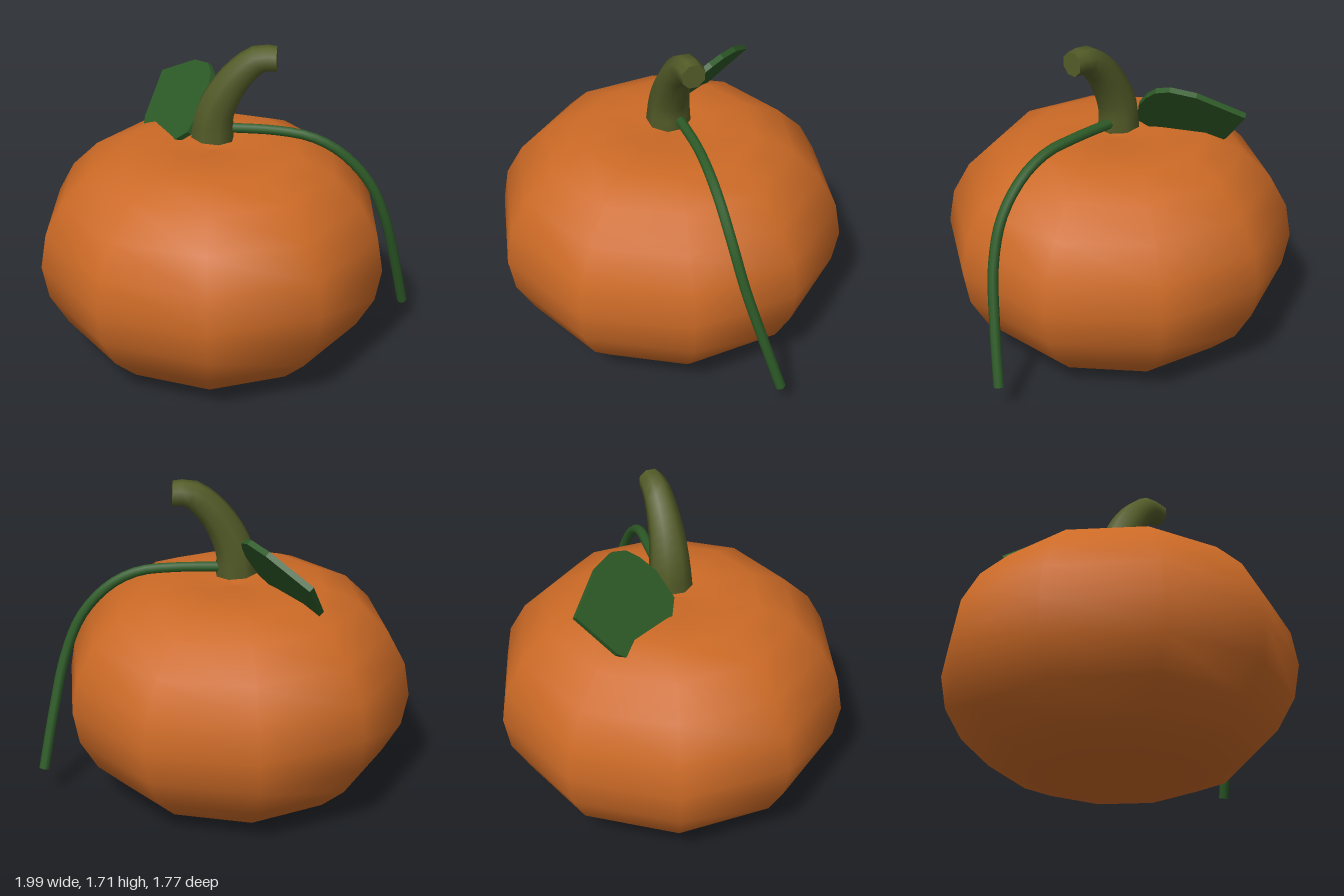
import * as THREE from 'three';

const V = (x, y, z) => new THREE.Vector3(x, y, z);

// Tube along a smooth path, tapering from r0 to r1, with flat end caps
function taperedTube(name, points, r0, r1, steps, sides, material) {
  const group = new THREE.Group();
  group.name = name;
  const curve = new THREE.CatmullRomCurve3(points);
  const geo = new THREE.TubeGeometry(curve, steps, 1, sides);
  const pos = geo.attributes.position, v = V(0, 0, 0);
  for (let i = 0; i <= steps; i++) {
    const c = curve.getPointAt(i / steps);
    const r = r0 + (r1 - r0) * i / steps;
    for (let j = 0; j <= sides; j++) {
      const k = i * (sides + 1) + j;
      v.fromBufferAttribute(pos, k).sub(c).multiplyScalar(r).add(c);
      pos.setXYZ(k, v.x, v.y, v.z);
    }
  }
  const side = new THREE.Mesh(geo, material);
  side.name = name + 'Side';
  group.add(side);

  // Caps: fans over the first and last rings
  for (const end of [0, 1]) {
    const c = curve.getPointAt(end), start = end * steps * (sides + 1), p = [];
    for (let j = 0; j < sides; j++) {
      const a = V(0, 0, 0).fromBufferAttribute(pos, start + j);
      const b = V(0, 0, 0).fromBufferAttribute(pos, start + j + 1);
      const n = b.clone().sub(a).cross(c.clone().sub(a));
      const out = curve.getTangentAt(end).multiplyScalar(end ? 1 : -1);
      const tri = n.dot(out) > 0 ? [a, b, c] : [b, a, c];
      tri.forEach(q => p.push(q.x, q.y, q.z));
    }
    const capGeo = new THREE.BufferGeometry();
    capGeo.setAttribute('position', new THREE.Float32BufferAttribute(p, 3));
    capGeo.computeVertexNormals();
    const cap = new THREE.Mesh(capGeo, material);
    cap.name = name + (end ? 'Tip' : 'Base');
    group.add(cap);
  }
  return group;
}

export function createModel() {
  const model = new THREE.Group();
  model.name = 'pumpkin';
  const mat = (name, color) => {
    const m = new THREE.MeshStandardMaterial({ color });
    m.name = name;
    return m;
  };
  const orange = mat('pumpkinOrange', 0xcc6a26);
  const olive = mat('stemOlive', 0x545c28);
  const green = mat('leafGreen', 0x2d5a27);

  // Body: ten-sided squashed sphere with pressed-in poles
  const mid = 0.583, profile = [];
  const press = { 0: 0.55, 1: 0.58, 2: 0.576 };
  for (let i = 12; i >= 0; i--) {
    const a = i * Math.PI / 12;
    const fromPole = Math.min(i, 12 - i);
    const h = press[fromPole] ?? 0.7 * Math.abs(Math.cos(a));
    profile.push(new THREE.Vector2(fromPole ? 0.93 * Math.sin(a) : 0, mid + (i < 6 ? h : -h)));
  }
  const body = new THREE.Mesh(new THREE.LatheGeometry(profile, 10, Math.PI / 2), orange);
  body.name = 'body';
  body.position.x = -0.07;
  model.add(body);

  // Stem: bent and tapering
  model.add(taperedTube('stem', [
    V(-0.07, 1.21, 0), V(-0.062, 1.32, 0.003), V(-0.015, 1.45, 0.025),
    V(0.065, 1.57, 0.055), V(0.15, 1.64, 0.085), V(0.235, 1.643, 0.12),
  ], 0.115, 0.064, 12, 8, olive));

  // Vine: thin tendril hanging over the side
  model.add(taperedTube('vine', [
    V(-0.03, 1.25, -0.015), V(0.25, 1.247, 0.11), V(0.41, 1.222, 0.19), V(0.55, 1.142, 0.252),
    V(0.69, 0.98, 0.3), V(0.79, 0.76, 0.305), V(0.88, 0.48, 0.265), V(0.97, 0.17, 0.21),
  ], 0.027, 0.027, 28, 8, green));

  // Leaf: thick pointed blade, tilted so its lower half sinks into the body
  const half = [[0.07, 0.15], [0.15, 0.23], [0.22, 0.275], [0.3, 0.28], [0.42, 0.215]];
  const shape = new THREE.Shape();
  shape.moveTo(0, 0);
  half.forEach(([l, w]) => shape.lineTo(l, -w));
  shape.lineTo(0.605, 0);
  [...half].reverse().forEach(([l, w]) => shape.lineTo(l, w));
  shape.closePath();
  const leafGeo = new THREE.ExtrudeGeometry(shape, { depth: 0.03, bevelEnabled: false });
  leafGeo.translate(0, 0, -0.015);
  const along = V(0.02, 0.13, -0.59).normalize();
  const normal = along.clone().cross(V(0.61, 0.79, 0)).normalize();
  const across = normal.clone().cross(along);
  leafGeo.applyMatrix4(new THREE.Matrix4().makeBasis(along, across, normal));
  const leaf = new THREE.Mesh(leafGeo, green);
  leaf.name = 'leaf';
  leaf.position.set(-0.175, 1.21, -0.07);
  model.add(leaf);

  return model;
}
